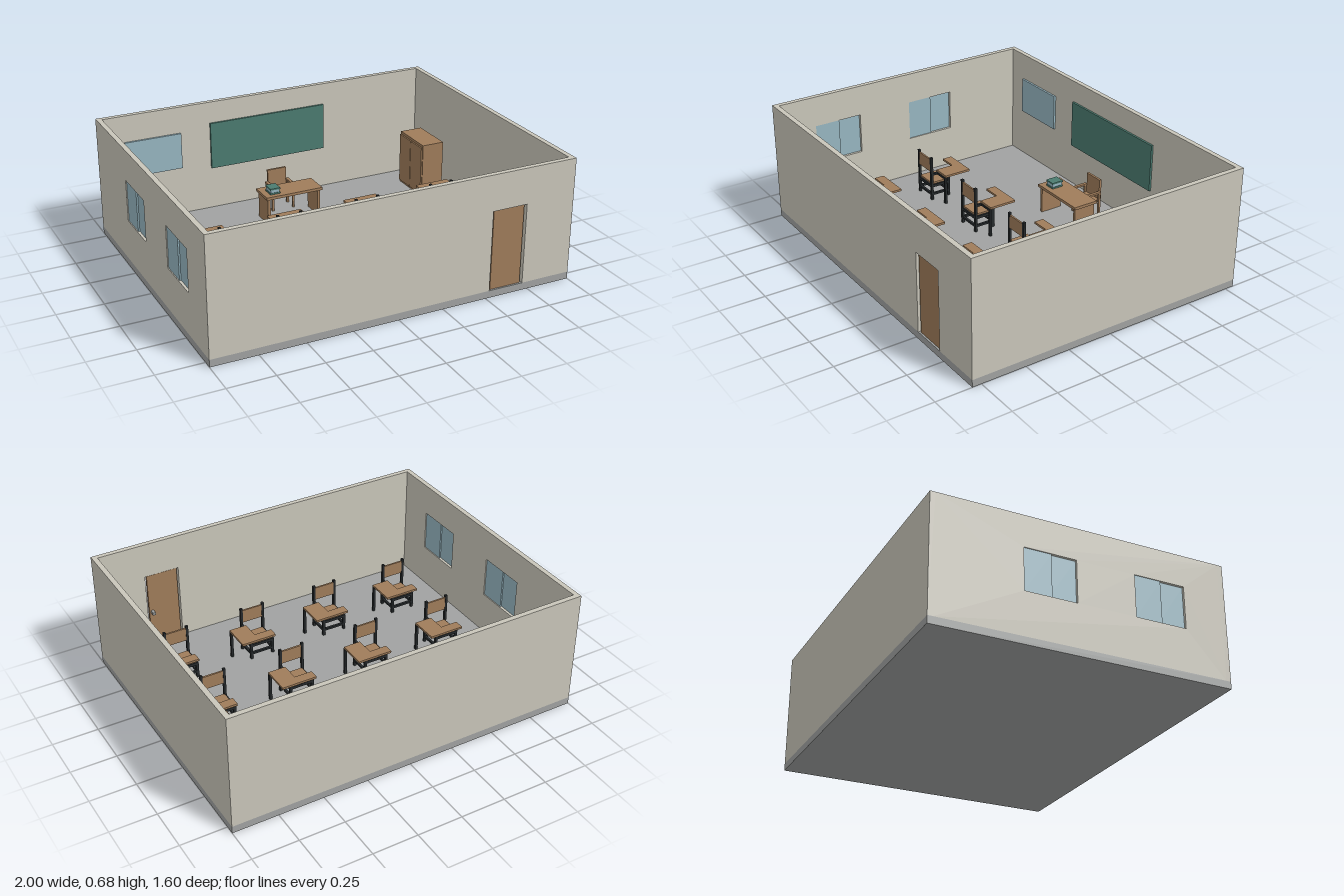
import * as THREE from 'three';

const mat = (name, color) => {
  const m = new THREE.MeshStandardMaterial({ color });
  m.name = name;
  return m;
};

export function createModel() {
  const plaster = mat('plaster', 0xc9c6ba);
  const stone = mat('grey floor', 0xa0a2a1);
  const wood = mat('wood', 0x9f7c5a);
  const black = mat('black frame', 0x25292b);
  const green = mat('green board', 0x4b7b70);
  const glass = mat('pale blue', 0x97b6c1);

  const room = new THREE.Group();
  room.name = 'classroom';
  const F = 0.04, H = 0.68, T = 0.028; // floor top, wall top, wall thickness

  const group = (name, parent = room) => {
    const g = new THREE.Group();
    g.name = name;
    parent.add(g);
    return g;
  };
  const add = (parent, name, geo, m) => {
    const mesh = new THREE.Mesh(geo, m);
    mesh.name = name;
    parent.add(mesh);
    return mesh;
  };
  // box from its limits on each axis
  const box = (parent, name, m, [x0, x1], [y0, y1], [z0, z1]) => {
    const mesh = add(parent, name, new THREE.BoxGeometry(x1 - x0, y1 - y0, z1 - z0), m);
    mesh.position.set((x0 + x1) / 2, (y0 + y1) / 2, (z0 + z1) / 2);
    return mesh;
  };
  const polygon = (pts) => new THREE.Shape(pts.map(([x, y]) => new THREE.Vector2(x, y)));
  const extrude = (shape, depth) => new THREE.ExtrudeGeometry(shape, { depth, bevelEnabled: false });

  // Floor and plain walls
  box(room, 'floor', stone, [-1, 1], [0, F], [-0.8, 0.8]);
  box(room, 'backWall', plaster, [-1, 1], [F, H], [-0.8, -0.8 + T]);
  box(room, 'rightHandWall', plaster, [1 - T, 1], [F, H], [-0.8 + T, 0.8 - T]);

  // Front wall with doorway
  const frontShape = polygon([[-1, F], [0.52, F], [0.52, 0.482], [0.718, 0.482], [0.718, F], [1, F], [1, H], [-1, H]]);
  add(room, 'frontWall', extrude(frontShape, T), plaster).position.z = 0.8 - T;

  // Door
  const door = group('door');
  box(door, 'doorPanel', wood, [0.53, 0.708], [F, 0.48], [0.774, 0.79]);
  box(door, 'doorHandle', stone, [0.684, 0.7], [0.24, 0.256], [0.745, 0.774]);

  // Window wall: outline drawn in z and y, then turned to face the side
  const winY = [0.275, 0.505];
  const windows = [[-0.32, -0.04], [0.28, 0.56]];
  const e = 0.8 - T;
  const sideShape = polygon([[-e, F], [e, F], [e, H], [-e, H]]);
  for (const [a, b] of windows)
    sideShape.holes.push(polygon([[a, winY[0]], [a, winY[1]], [b, winY[1]], [b, winY[0]]]));
  const sideGeo = extrude(sideShape, T);
  sideGeo.rotateY(-Math.PI / 2);
  add(room, 'windowWall', sideGeo, plaster).position.x = -1 + T;

  // Sliding window panes, one slightly behind the other
  for (const [a, b] of windows) {
    const w = group('window');
    const mid = (a + b) / 2;
    box(w, 'outerPane', glass, [-0.995, -0.987], winY, [a, mid + 0.008]);
    box(w, 'innerPane', glass, [-0.986, -0.978], winY, [mid - 0.008, b]);
  }

  // Boards on the back wall
  box(room, 'whiteboard', glass, [-0.855, -0.53], [0.32, 0.527], [-0.775, -0.76]);
  box(room, 'chalkboard', green, [-0.355, 0.35], [0.285, 0.556], [-0.775, -0.76]);

  // Teacher's desk
  const desk = group('teacherDesk');
  box(desk, 'deskTop', wood, [-0.175, 0.167], [0.192, 0.208], [-0.55, -0.4]);
  for (const x of [-0.165, 0.141])
    box(desk, 'deskSide', wood, [x, x + 0.016], [F, 0.192], [-0.54, -0.41]);
  box(desk, 'deskDrawer', wood, [-0.149, 0.141], [0.165, 0.192], [-0.54, -0.53]);

  // Book on the desk
  const book = group('book');
  box(book, 'lowerCover', green, [-0.14, -0.08], [0.208, 0.217], [-0.5, -0.43]);
  box(book, 'pages', glass, [-0.137, -0.083], [0.217, 0.234], [-0.497, -0.433]);
  box(book, 'upperCover', green, [-0.14, -0.08], [0.234, 0.243], [-0.5, -0.43]);

  // Teacher's armchair
  const armchair = group('teacherChair');
  box(armchair, 'seat', wood, [-0.058, 0.056], [0.125, 0.14], [-0.655, -0.56]);
  box(armchair, 'backrest', wood, [-0.058, 0.056], [0.14, 0.258], [-0.666, -0.652]);
  for (const x of [-0.075, 0.053]) {
    box(armchair, 'armrest', wood, [x, x + 0.018], [0.18, 0.19], [-0.655, -0.56]);
    box(armchair, 'armPost', wood, [x + 0.003, x + 0.015], [F, 0.18], [-0.575, -0.562]);
    box(armchair, 'rearLeg', wood, [x + 0.003, x + 0.015], [F, 0.18], [-0.655, -0.642]);
  }

  // Cupboard with two doors facing into the room
  const cupboard = group('cupboard');
  box(cupboard, 'cupboardBody', wood, [0.797, 0.93], [F, 0.36], [-0.625, -0.365]);
  for (const [a, b] of [[-0.62, -0.497], [-0.493, -0.37]])
    box(cupboard, 'cupboardDoor', wood, [0.788, 0.797], [0.055, 0.345], [a, b]);

  // Student chairs with an L-shaped writing tablet, in two rows of four
  const tabletShape = polygon([[0.03, 0.175], [0.03, 0.12], [0.13, 0.12], [0.13, 0.015], [0.23, 0.015], [0.23, 0.175]]);
  const tabletGeo = extrude(tabletShape, 0.012);
  tabletGeo.rotateX(-Math.PI / 2);

  const studentChair = (x, z) => {
    const c = group('studentChair');
    c.position.set(x, 0, z);
    const L = [0, 0.014], R = [0.131, 0.145], front = [-0.094, -0.08], back = [0.016, 0.03];
    box(c, 'seat', wood, [0.01, 0.135], [0.132, 0.144], [-0.088, 0.022]);
    box(c, 'backrest', wood, [0.014, 0.131], [0.215, 0.292], [0.018, 0.028]);
    for (const side of [L, R]) {
      box(c, 'rearPost', black, side, [F, 0.305], back);
      box(c, 'seatRail', black, side, [0.118, 0.134], [-0.08, 0.016]);
      box(c, 'sideStretcher', black, side, [0.068, 0.08], [-0.08, 0.016]);
    }
    box(c, 'leftFrontLeg', black, L, [F, 0.134], front);
    box(c, 'rightFrontPost', black, R, [F, 0.204], front);
    for (const zz of [front, back]) {
      box(c, 'crossRail', black, [0.014, 0.131], [0.118, 0.134], zz);
      box(c, 'crossStretcher', black, [0.014, 0.131], [0.068, 0.08], zz);
    }
    // tablet and its supports
    add(c, 'writingTablet', tabletGeo, wood).position.y = 0.204;
    box(c, 'tabletBar', black, [0.131, 0.229], [0.192, 0.204], [-0.022, -0.01]);
    box(c, 'tabletArm', black, R, [0.192, 0.204], [-0.08, 0.016]);
    box(c, 'tabletLeg', black, [0.215, 0.229], [F, 0.192], [-0.024, -0.01]);
  };
  for (const z of [0, 0.45])
    for (let i = 0; i < 4; i++) studentChair(-0.765 + 0.46 * i, z);

  return room;
}
